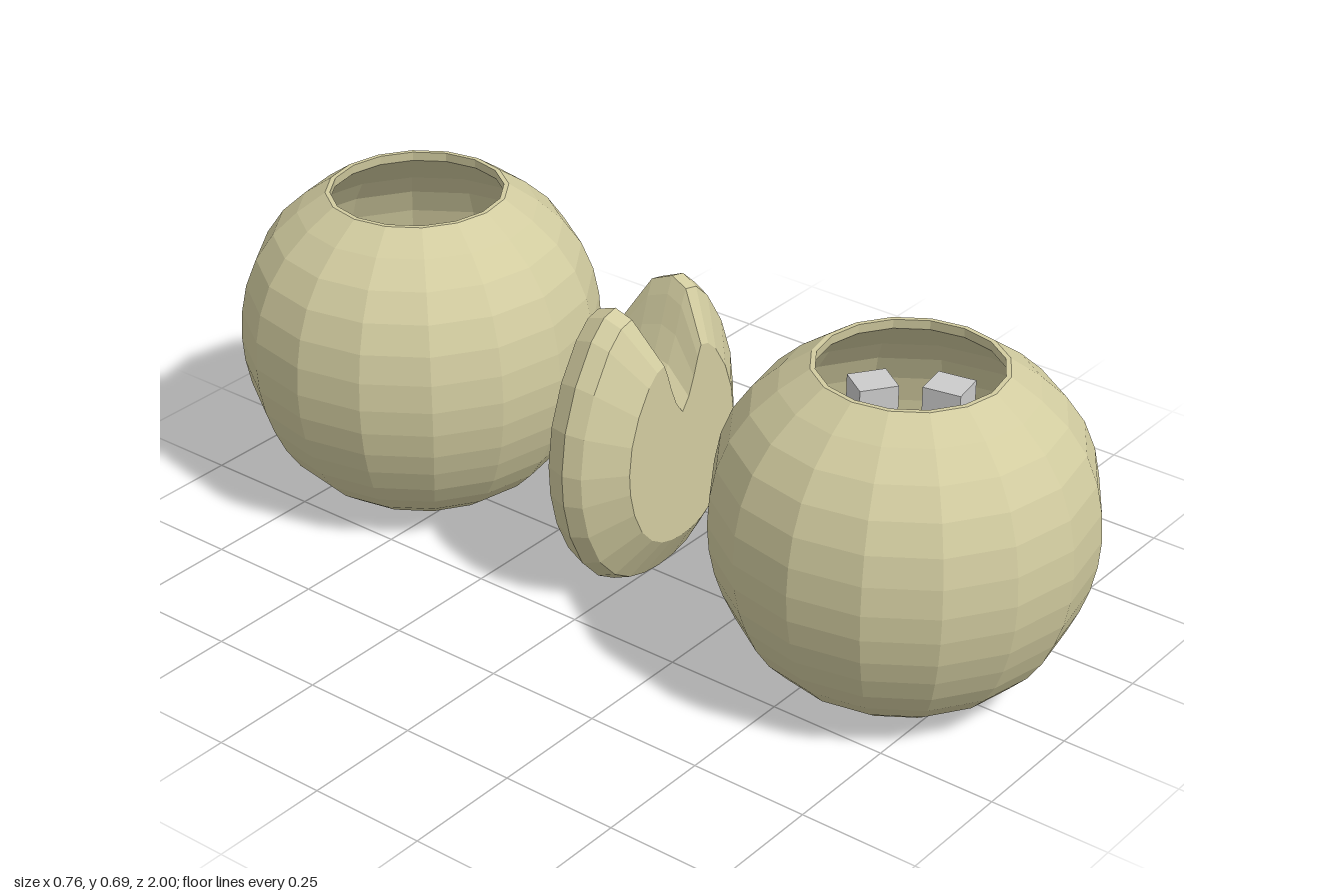
import * as THREE from 'three';

const clay = new THREE.MeshStandardMaterial({ color: 0xd2cca0, flatShading: true, side: THREE.DoubleSide });
const grey = new THREE.MeshStandardMaterial({ color: 0xcccccc, flatShading: true });

// Outer wall of a pot as [radius, height], from the dimple under the base to the rim
const wall = [
  [0.002, 0.05], [0.025, 0.042], [0.05, 0.015], [0.075, 0.003], [0.11, 0], [0.16, 0.011], [0.21, 0.032],
  [0.255, 0.064], [0.295, 0.105], [0.325, 0.15], [0.348, 0.2], [0.365, 0.25], [0.376, 0.305],
  [0.38, 0.36], [0.376, 0.42], [0.364, 0.48], [0.34, 0.54], [0.302, 0.595], [0.25, 0.643], [0.19, 0.685],
];

// Thin-walled pot: outer wall up, inner wall back down
function makePot(name, z) {
  const inner = wall.slice(0, -1).reverse().map(([r, y]) => [
    Math.max(0.002, r - 0.02 * Math.min(1, r / 0.2)),
    y + 0.02 * THREE.MathUtils.clamp((0.36 - y) / 0.3, -0.8, 1),
  ]);
  const profile = [...wall, [0.18, 0.685], [0.182, 0.665], ...inner.slice(1)]
    .map(([r, y]) => new THREE.Vector2(r, y));
  const pot = new THREE.Mesh(new THREE.LatheGeometry(profile, 16), clay);
  pot.name = name;
  pot.position.z = z;
  return pot;
}

// Ring of small blocks under the rim
function makeBlocks(z) {
  const ring = new THREE.Group();
  ring.name = 'blockRing';
  ring.position.z = z;
  const geometry = new THREE.BoxGeometry(0.08, 0.08, 0.075);
  for (let i = 0; i < 8; i++) {
    const a = THREE.MathUtils.degToRad(10 + i * 45);
    const block = new THREE.Mesh(geometry, grey);
    block.name = 'block';
    block.position.set(0.193 * Math.sin(a), 0.51, 0.193 * Math.cos(a));
    block.rotation.y = a;
    ring.add(block);
  }
  return ring;
}

// Rounded slab with a notch in the top: one outline scaled through its thickness
function makeNotchedSlab() {
  const half = [
    [0, 0], [0.05, 0.004], [0.1, 0.018], [0.15, 0.048], [0.2, 0.102], [0.237, 0.18], [0.256, 0.26], [0.26, 0.33],
    [0.248, 0.42], [0.215, 0.51], [0.165, 0.59], [0.125, 0.627], [0.09, 0.635], [0.075, 0.6], [0.055, 0.54],
    [0.03, 0.48], [0, 0.44],
  ];
  const outline = [...half, ...half.slice(1, -1).reverse().map(([x, y]) => [-x, y])];
  const sections = [[0.078, 0.65], [0.018, 0.95], [-0.02, 1], [-0.067, 0.94], [-0.122, 0.65]];
  const n = outline.length, cy = 0.318;
  const positions = [], index = [];
  for (const [z, s] of sections)
    for (const [x, y] of outline) positions.push(x * s, cy + (y - cy) * s, z);
  for (let k = 0; k < sections.length - 1; k++)
    for (let i = 0; i < n; i++) {
      const a = k * n + i, b = k * n + (i + 1) % n;
      index.push(a, a + n, b, b, a + n, b + n);
    }
  // Flat front and back faces
  const last = (sections.length - 1) * n;
  const points = outline.map(([x, y]) => new THREE.Vector2(x, y));
  for (const [a, b, c] of THREE.ShapeUtils.triangulateShape(points, [])) {
    index.push(a, b, c, last + a, last + c, last + b);
  }
  const geometry = new THREE.BufferGeometry();
  geometry.setAttribute('position', new THREE.Float32BufferAttribute(positions, 3));
  geometry.setIndex(index);
  geometry.computeVertexNormals();
  const slab = new THREE.Mesh(geometry, clay);
  slab.name = 'notchedSlab';
  return slab;
}

export function createModel() {
  const model = new THREE.Group();
  model.name = 'potsAndSlab';
  model.add(makePot('frontPot', 0.615), makePot('backPot', -0.62), makeBlocks(0.615), makeNotchedSlab());
  return model;
}
